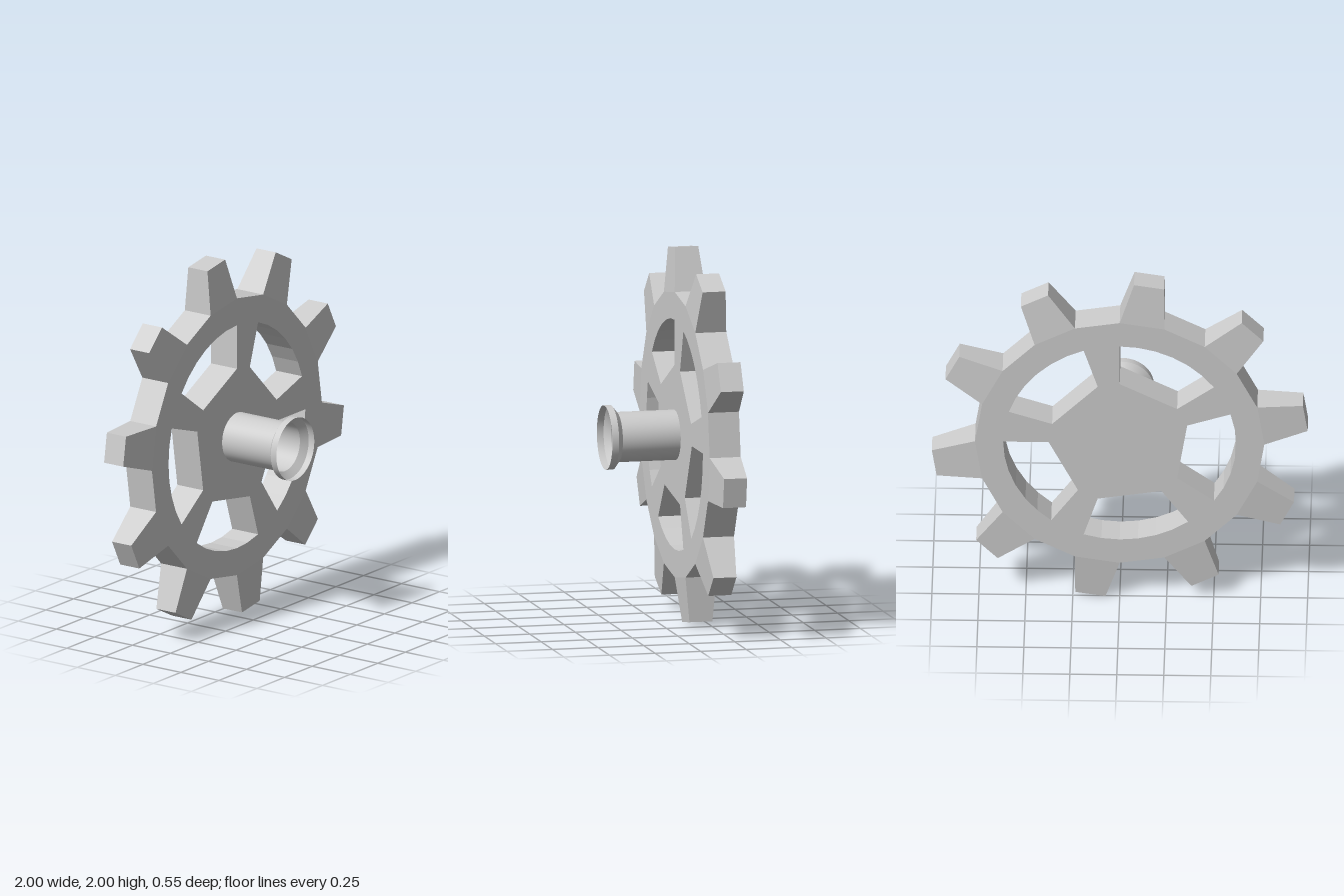
import * as THREE from 'three';
import { toCreasedNormals } from 'three/addons/utils/BufferGeometryUtils.js';

const BACK = -0.277, DEPTH = 0.17, ROOT = 0.77, TIP = 1.003;
const polar = (r, deg) => new THREE.Vector2(
  r * Math.cos(THREE.MathUtils.degToRad(deg)), r * Math.sin(THREE.MathUtils.degToRad(deg)));

// Twenty-sided disc with five openings between the spokes
function rimGeometry() {
  const shape = new THREE.Shape(Array.from({ length: 20 }, (_, i) => polar(ROOT, i * 18)));
  for (let k = 0; k < 5; k++) {
    const start = 18 + 72 * k;
    const pts = [polar(0.378, start + 54), polar(0.378, start)];
    for (let i = 0; i <= 6; i++) pts.push(polar(0.62, start + 9 * i));
    shape.holes.push(new THREE.Path(pts));
  }
  return new THREE.ExtrudeGeometry(shape, { depth: DEPTH, bevelEnabled: false });
}

// Tooth: a box tapered in width and thickness towards its tip, pointing along +y
function toothGeometry() {
  const base = polar(ROOT, 9), tip = polar(TIP, 4.65);
  const geo = new THREE.BoxGeometry(2, 2, 2);
  const p = geo.attributes.position;
  for (let i = 0; i < p.count; i++) {
    const end = p.getY(i) > 0 ? tip : base;
    const half = p.getY(i) > 0 ? 0.063 : DEPTH / 2;
    p.setXYZ(i, p.getX(i) * end.y, end.x, p.getZ(i) * half);
  }
  const flat = geo.toNonIndexed();
  flat.computeVertexNormals();
  return flat;
}

export function createModel() {
  const model = new THREE.Group();
  model.name = 'cogWheel';
  const grey = new THREE.MeshStandardMaterial({ color: 0xcccccc, flatShading: true });
  const thin = new THREE.MeshStandardMaterial({ color: 0xcccccc, side: THREE.DoubleSide });

  // Spoked wheel
  const wheel = new THREE.Mesh(rimGeometry(), grey);
  wheel.name = 'spokedWheel';
  wheel.position.set(0, 1, BACK);
  model.add(wheel);

  // Ten teeth around the rim
  const teeth = new THREE.Group();
  teeth.name = 'teeth';
  teeth.position.set(0, 1, BACK + DEPTH / 2);
  const tooth = toothGeometry();
  for (let k = 0; k < 10; k++) {
    const mesh = new THREE.Mesh(tooth, grey);
    mesh.name = 'tooth';
    mesh.rotation.z = THREE.MathUtils.degToRad(9 + 36 * k);
    teeth.add(mesh);
  }
  model.add(teeth);

  // Open, thin-walled axle with a flared lip
  const profile = [[0.134, BACK + DEPTH], [0.134, 0.21], [0.172, 0.24], [0.172, 0.277]]
    .map(([r, y]) => new THREE.Vector2(r, y));
  const axleGeo = toCreasedNormals(new THREE.LatheGeometry(profile, 48), 0.5);
  const axle = new THREE.Mesh(axleGeo, thin);
  axle.name = 'axleTube';
  axle.rotation.x = Math.PI / 2;
  axle.position.y = 1;
  model.add(axle);

  return model;
}
